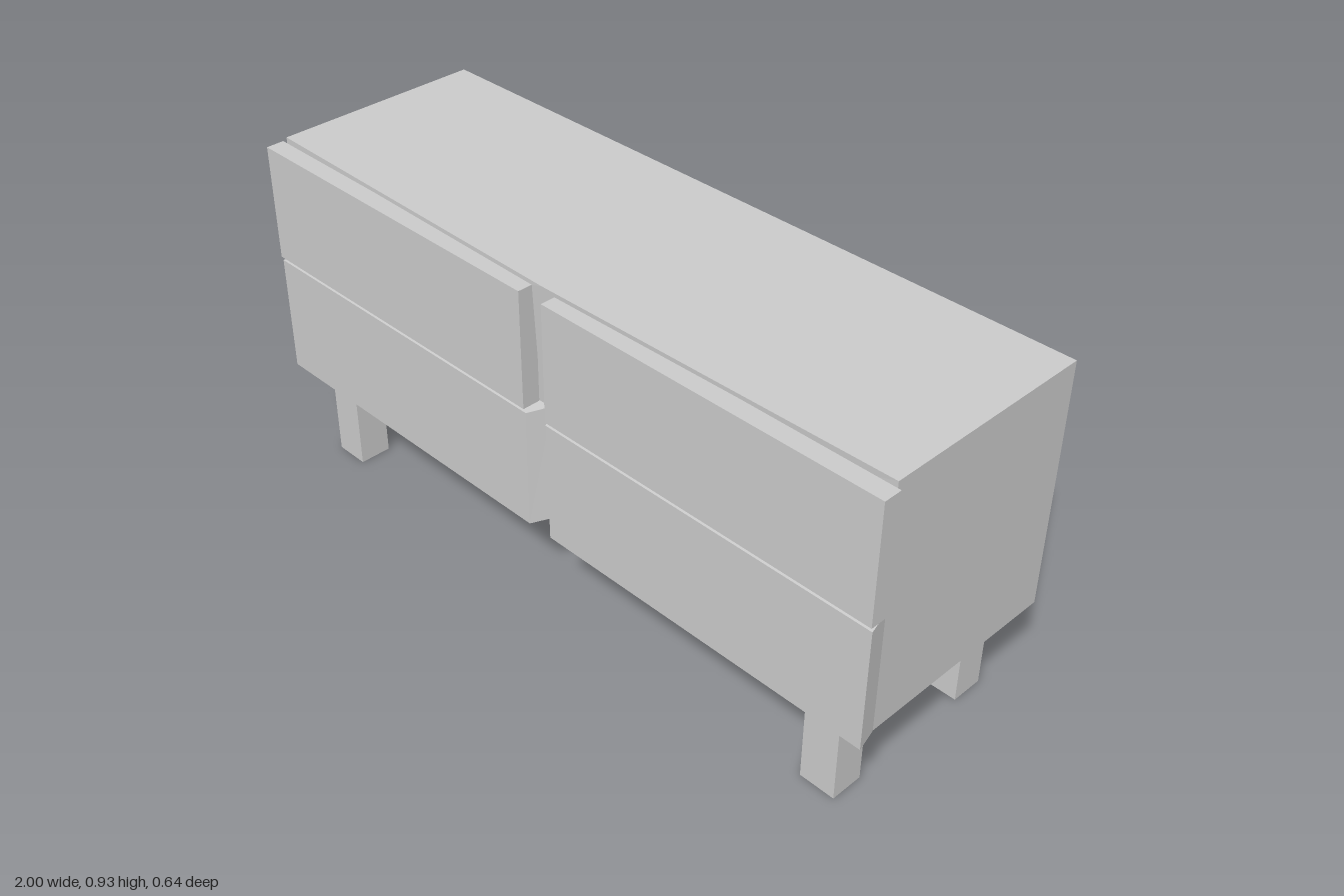
import * as THREE from 'three';

const material = new THREE.MeshStandardMaterial({ color: 0xcccccc, flatShading: true });

// Box from its bounds, optionally reshaped by a rule on each vertex
function block(name, x, y, z, rule, sx = 1, sy = 1) {
  const g = new THREE.BoxGeometry(x[1] - x[0], y[1] - y[0], z[1] - z[0], sx, sy, 1);
  g.translate((x[0] + x[1]) / 2, (y[0] + y[1]) / 2, (z[0] + z[1]) / 2);
  if (rule) {
    const p = g.attributes.position;
    const v = new THREE.Vector3();
    for (let i = 0; i < p.count; i++) {
      rule(v.fromBufferAttribute(p, i));
      p.setXYZ(i, v.x, v.y, v.z);
    }
    g.computeVertexNormals();
  }
  const mesh = new THREE.Mesh(g, material);
  mesh.name = name;
  return mesh;
}

export function createModel() {
  const model = new THREE.Group();
  model.name = 'sideboard';

  // Cabinet: the top front edge bows slightly forward at the middle
  model.add(block('cabinet', [-0.99, 0.985], [0.267, 0.932], [-0.318, 0.264], (v) => {
    if (v.z > 0 && v.y > 0.9 && Math.abs(v.x) < 0.1) v.z = 0.28;
  }, 2, 2));

  for (const s of [-1, 1]) {
    const side = s > 0 ? 'left' : 'right';
    const span = (a, b) => (s > 0 ? [a, b] : [-b, -a]);

    // Upper drawer front: a plain slab
    model.add(block(side + 'UpperDrawer', span(0.037, 0.998), [0.602, 0.921], [0.27, 0.319]));

    // Lower drawer front: tapers back into the cabinet, leaving a V groove between the pair
    model.add(block(side + 'LowerDrawer', span(0.037, 0.998), [0.26, 0.59], [0.26, 0.315], (v) => {
      if (v.z < 0.3) {
        v.x = s * (Math.abs(v.x) > 0.5 ? 0.986 : 0.003);
        v.y += 0.008;
      } else if (Math.abs(v.x) < 0.5 && v.y > 0.4) v.x = s * 0.034;
    }));

    // Square legs, front and back
    for (const [end, z] of [['Front', 0.22], ['Back', -0.218]]) {
      model.add(block(side + end + 'Leg', span(0.807, 0.905), [0, 0.268], [z - 0.045, z + 0.045]));
    }
  }
  return model;
}
